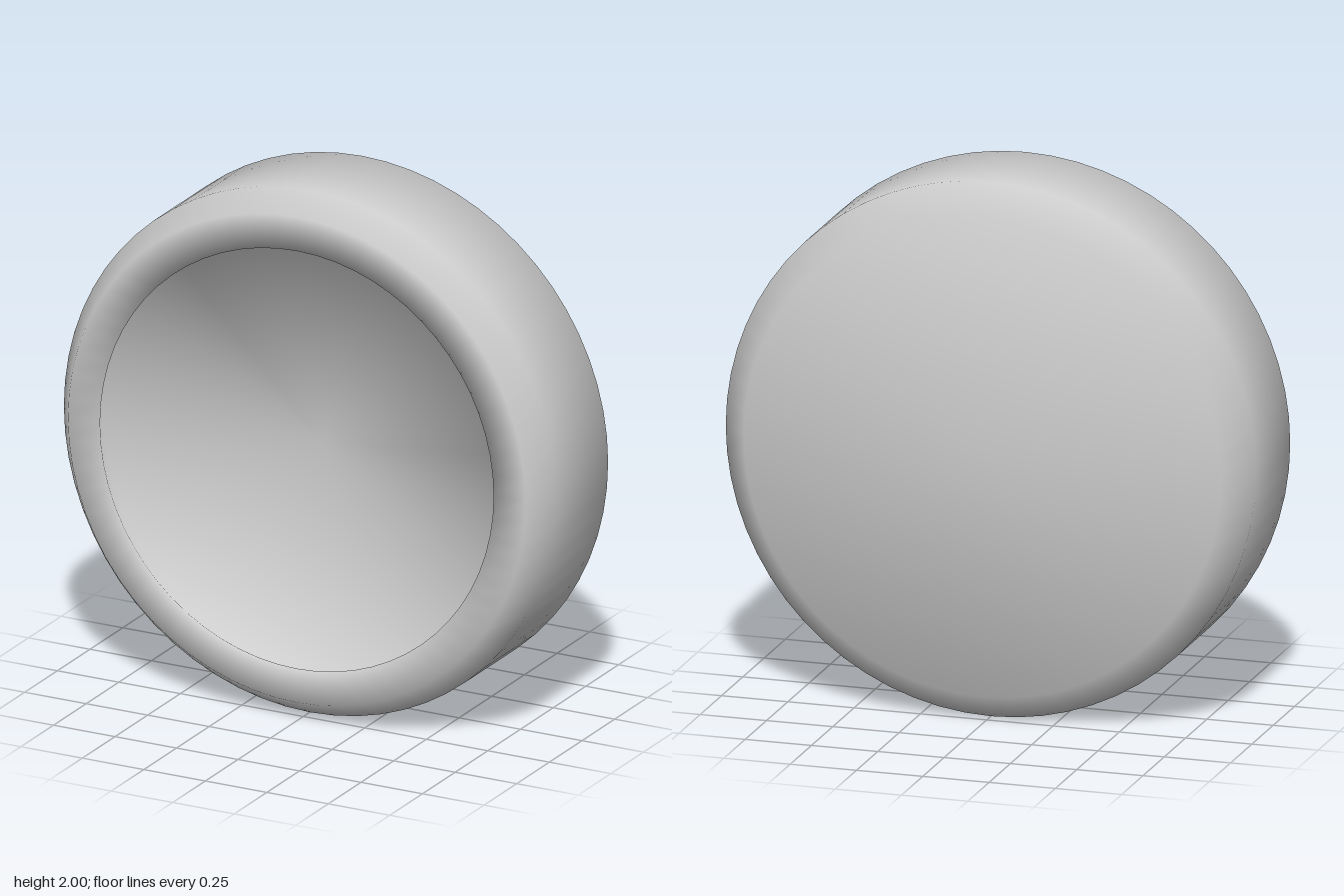
import * as THREE from 'three';

const SEGMENTS = 64;
const material = new THREE.MeshStandardMaterial({ color: 0xcccccc });

// Unit normal of the profile segment a-b, or zero beyond the ends
function segmentNormal(a, b) {
  if (!a || !b) return new THREE.Vector2();
  return new THREE.Vector2(b.y - a.y, a.x - b.x).normalize();
}

// Revolve a [radius, depth] profile around the front-back axis,
// blending the normals of neighbouring segments evenly for a soft look
function revolve(name, profile) {
  const points = profile.map(([r, z]) => new THREE.Vector2(r, z));
  const geometry = new THREE.LatheGeometry(points, SEGMENTS);
  const soft = points.map((p, i) => segmentNormal(points[i - 1], p)
    .add(segmentNormal(p, points[i + 1])).normalize());
  const normals = geometry.attributes.normal;
  for (let i = 0; i < normals.count; i++) {
    const a = Math.floor(i / points.length) / SEGMENTS * Math.PI * 2;
    const n = soft[i % points.length];
    normals.setXYZ(i, n.x * Math.sin(a), n.y, n.x * Math.cos(a));
  }
  geometry.rotateX(Math.PI / 2);
  const mesh = new THREE.Mesh(geometry, material);
  mesh.name = name;
  mesh.position.y = 1;
  return mesh;
}

export function createModel() {
  const group = new THREE.Group();
  group.name = 'roundDish';
  group.add(revolve('dish', [
    // flat back, bevel and side wall
    [0, -0.3], [0.9, -0.3], [1, -0.2], [1, 0.2],
    // front rim
    [0.93, 0.3], [0.8, 0.3],
    // undercut inner wall and flat floor
    [0.9, 0.1], [0, 0.1],
  ]));
  return group;
}
